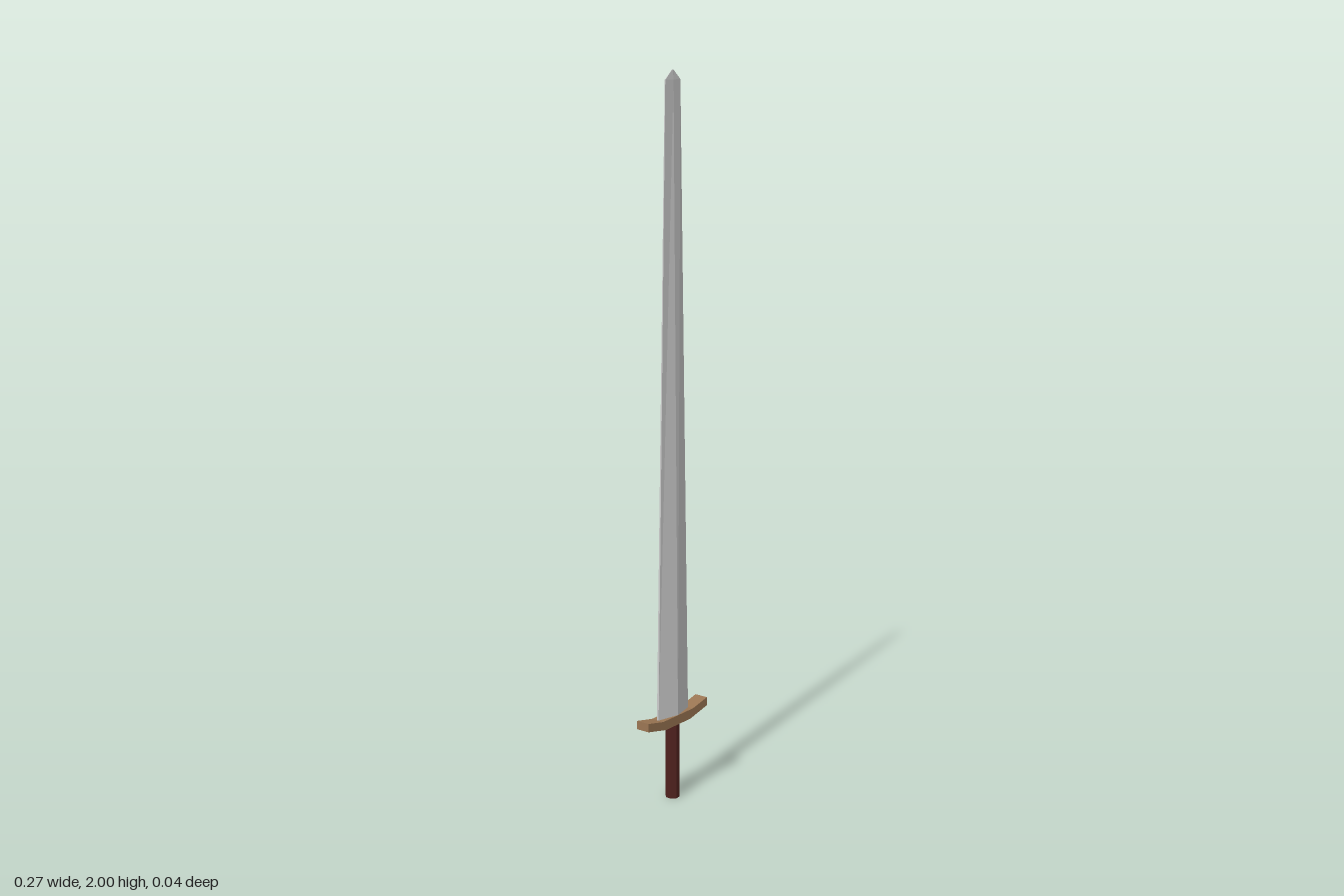
import * as THREE from 'three';

const material = (color) => new THREE.MeshStandardMaterial({ color, flatShading: true });

// Six-sided blade cross-section: ridges front and back, thin flat edges
const section = (y, halfWidth, ridge, edge) => [
  [halfWidth, y, edge], [halfWidth, y, -edge], [0, y, -ridge],
  [-halfWidth, y, -edge], [-halfWidth, y, edge], [0, y, ridge],
];

// Joins cross-sections running upward and caps both ends
function loft(sections) {
  const n = sections[0].length;
  const index = [];
  for (let s = 0; s < sections.length - 1; s++) {
    for (let i = 0; i < n; i++) {
      const a = s * n + i, b = s * n + (i + 1) % n;
      index.push(a, b, b + n, a, b + n, a + n);
    }
  }
  const top = (sections.length - 1) * n;
  for (let i = 1; i < n - 1; i++) {
    index.push(0, i + 1, i, top, top + i, top + i + 1);
  }
  const geometry = new THREE.BufferGeometry();
  geometry.setAttribute('position', new THREE.Float32BufferAttribute(sections.flat(2), 3));
  geometry.setIndex(index);
  const flat = geometry.toNonIndexed();
  flat.computeVertexNormals();
  return flat;
}

export function createModel() {
  const model = new THREE.Group();
  const add = (name, geometry, color) => {
    const mesh = new THREE.Mesh(geometry, material(color));
    mesh.name = name;
    model.add(mesh);
    return mesh;
  };

  // Blade, tapering to a short point
  const blade = add('blade', loft([
    section(0.235, 0.067, 0.019, 0.003),
    section(1.975, 0.032, 0.003, 0.001),
    section(2, 0.003, 0.001, 0.0005),
  ]), 0xcccccc);
  blade.material.side = THREE.DoubleSide;

  // Crossguard with upswept arms
  const outline = [
    [-0.133, 0.234], [-0.055, 0.217], [0.055, 0.217], [0.133, 0.234],
    [0.133, 0.258], [0.067, 0.244], [-0.067, 0.244], [-0.133, 0.258],
  ];
  const guardShape = new THREE.Shape(outline.map(([x, y]) => new THREE.Vector2(x, y)));
  const guard = new THREE.ExtrudeGeometry(guardShape, { depth: 0.04, bevelEnabled: false });
  guard.translate(0, 0, -0.02);
  add('crossguard', guard, 0x9b7653);

  // Eight-sided grip
  const grip = new THREE.CylinderGeometry(0.0205, 0.0205, 0.225, 8);
  grip.rotateY(Math.PI / 8);
  grip.translate(0, 0.1125, 0);
  add('grip', grip, 0x4f211d);

  return model;
}
